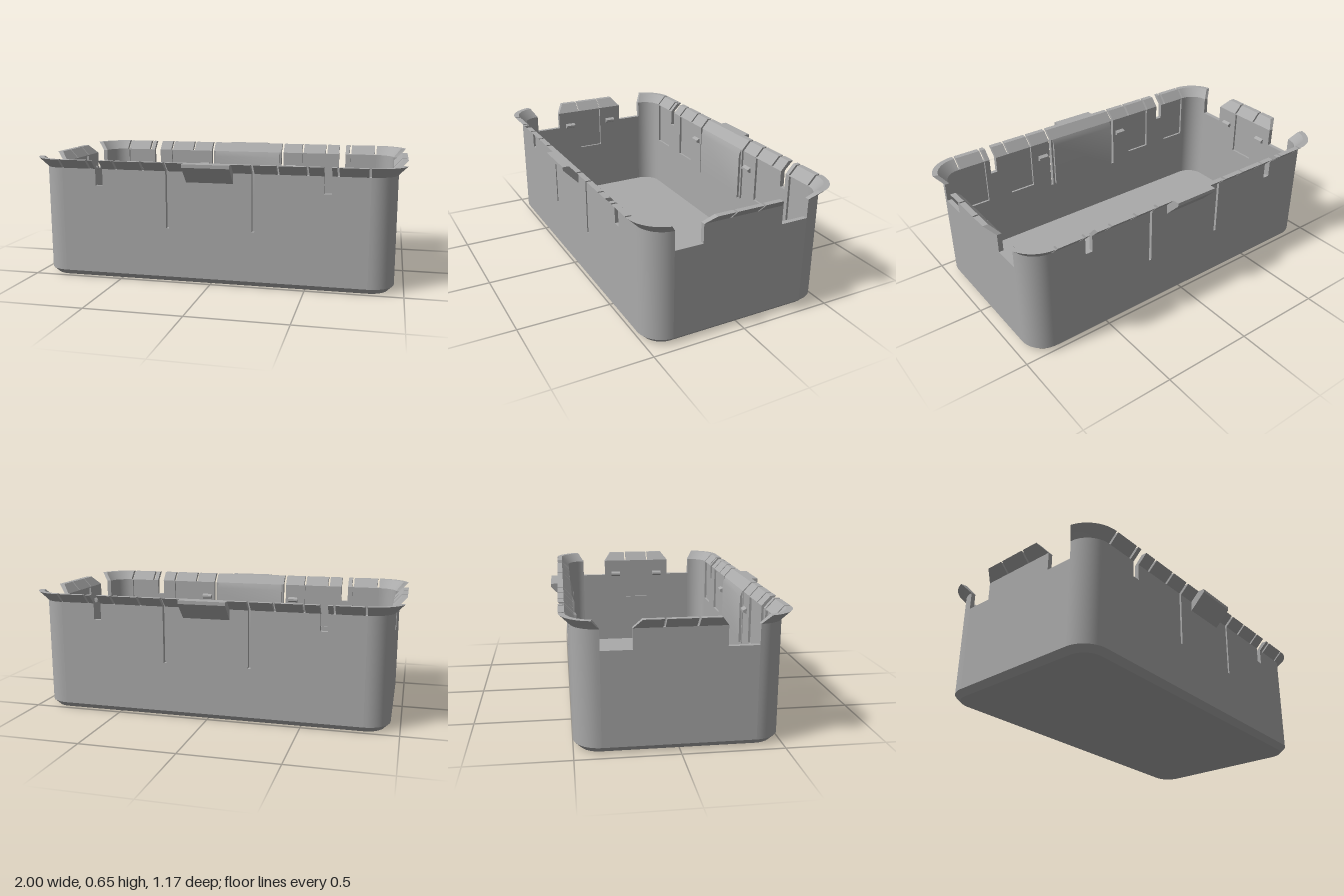
import * as THREE from 'three';
import { toCreasedNormals } from 'three/addons/utils/BufferGeometryUtils.js';

const HALF_X = 0.95, HALF_Z = 0.5, RADIUS = 0.13, WALL = 0.025;
const FLOOR = 0.03, RIM = 0.6, TOP = 0.65;

// Solid through matching convex sections (arrays of [x, y, z]), capped at both ends
function loft(sections) {
  const n = sections[0].length, tris = [];
  for (let s = 0; s < sections.length - 1; s++) {
    for (let i = 0; i < n; i++) {
      const j = (i + 1) % n, a = sections[s], b = sections[s + 1];
      tris.push([a[i], a[j], b[j]], [a[i], b[j], b[i]]);
    }
  }
  const first = sections[0], last = sections[sections.length - 1];
  for (let i = 1; i < n - 1; i++) {
    tris.push([first[0], first[i + 1], first[i]], [last[0], last[i], last[i + 1]]);
  }
  // Face outwards whichever way the sections run
  const v = p => new THREE.Vector3(...p);
  const volume = tris.reduce((sum, [a, b, c]) => sum + v(a).dot(v(b).cross(v(c))), 0);
  if (volume < 0) tris.forEach(t => t.reverse());
  const geo = new THREE.BufferGeometry();
  geo.setAttribute('position', new THREE.Float32BufferAttribute(tris.flat(2), 3));
  return toCreasedNormals(geo, 0.5);
}

// Straight bar along a wall; the profile is [out, y], ends may lean inwards at the top
function bar(profile, a, b, place, leanA = 0, leanB = 0) {
  const lift = y => Math.max(0, (y - RIM) / (TOP - RIM));
  return loft([
    profile.map(([o, y]) => place(a + leanA * lift(y), o, y)),
    profile.map(([o, y]) => place(b - leanB * lift(y), o, y)),
  ]);
}

const onFront = (u, out, y) => [u, y, HALF_Z + out];
const onSide = (u, out, y) => [HALF_X + out, y, u];

// Quarter turn round a corner; lean cuts the end next to the side wall
function corner(profile, sx, lean = 0) {
  const sections = [];
  for (let i = 0; i <= 12; i++) {
    sections.push(profile.map(([out, y]) => {
      const start = y > RIM ? lean : 0;
      const t = start + (Math.PI / 2 - start) * i / 12;
      const r = RADIUS + out;
      return [sx * (HALF_X - RADIUS + r * Math.cos(t)), y, HALF_Z - RADIUS + r * Math.sin(t)];
    }));
  }
  return loft(sections);
}

function roundedRing(inset, y) {
  const r = RADIUS - inset, points = [];
  for (let q = 0; q < 4; q++) {
    const cx = (q === 0 || q === 3 ? 1 : -1) * (HALF_X - RADIUS);
    const cz = (q < 2 ? 1 : -1) * (HALF_Z - RADIUS);
    for (let i = 0; i <= 12; i++) {
      const t = (q + i / 12) * Math.PI / 2;
      points.push([cx + r * Math.cos(t), y, cz + r * Math.sin(t)]);
    }
  }
  return points;
}

// Symmetric wall plate from the right half of its outline, with rectangular holes
function plate(half, holes, z0, z1) {
  const left = half.map(([x, y]) => [-x, y]).reverse();
  const shape = new THREE.Shape([...left, ...half].map(p => new THREE.Vector2(...p)));
  for (const [a, b, y0, y1] of holes) {
    shape.holes.push(new THREE.Path(
      [[a, y0], [b, y0], [b, y1], [a, y1]].map(p => new THREE.Vector2(...p))));
  }
  return new THREE.ExtrudeGeometry(shape, { depth: z1 - z0, bevelEnabled: false }).translate(0, 0, z0);
}

export function createModel() {
  const model = new THREE.Group();
  model.name = 'openTray';
  const plastic = new THREE.MeshStandardMaterial({ color: 0xaaaaaa });
  plastic.name = 'greyPlastic';

  const add = (parent, name, geo) => {
    const mesh = new THREE.Mesh(geo, plastic);
    mesh.name = name;
    parent.add(mesh);
  };

  // Floor with chamfered lower edge
  add(model, 'floor', loft([roundedRing(0.03, 0), roundedRing(0, FLOOR)]));

  const wallProfile = [[-WALL, FLOOR], [0, FLOOR], [0, RIM], [-WALL, RIM]];
  const flareProfile = [[-WALL, RIM], [0, RIM], [0.05, TOP], [0.02, TOP]];
  const bumpProfile = [[-WALL, 0.49], [-0.045, 0.5], [-0.045, 0.512], [-WALL, 0.522]];
  const panelProfile = [[-WALL, 0.3], [-0.038, 0.3], [-0.038, 0.565], [-WALL, RIM]];
  const clipProfile = [[0, 0.545], [0.085, 0.632], [0.085, TOP], [0.02, TOP], [0, 0.62]];

  // Half outlines with the slots and notches
  const longOutline = [[0.2225, RIM], [0.2225, 0.295], [0.2375, 0.295], [0.2375, RIM],
    [0.59, RIM], [0.59, 0.51], [0.63, 0.51], [0.63, RIM], [0.82, RIM], [0.82, FLOOR]];
  const sideOutline = [[0.22, RIM], [0.22, 0.5], [0.37, 0.5], [0.37, FLOOR]];
  const longPockets = [[0.36, 0.51], [0.66, 0.81], [-0.51, -0.36], [-0.81, -0.66]]
    .map(([a, b]) => [a, b, 0.34, 0.595]);
  const sidePockets = [[-0.075, 0.075, 0.34, 0.595]];

  // One long wall, one short wall and two corners; the other half is turned around
  for (let k = 0; k < 2; k++) {
    const half = new THREE.Group();
    half.name = k ? 'backHalf' : 'frontHalf';
    half.rotation.y = k * Math.PI;
    model.add(half);

    // Walls: plain outer skin and inner skin with shallow pockets
    const mid = WALL / 2;
    add(half, 'longWallOuter', plate(longOutline, [], HALF_Z - mid, HALF_Z));
    add(half, 'longWallInner', plate(longOutline, longPockets, HALF_Z - WALL, HALF_Z - mid));
    add(half, 'shortWallOuter', plate(sideOutline, [], HALF_X - mid, HALF_X).rotateY(Math.PI / 2));
    add(half, 'shortWallInner',
      plate(sideOutline, sidePockets, HALF_X - WALL, HALF_X - mid).rotateY(Math.PI / 2));

    // Split flared rim, central pieces
    add(half, 'longCentreRim', bar(flareProfile, -0.2225, 0.2225, onFront));
    add(half, 'shortCentreRim', bar(flareProfile, -0.072, 0.072, onSide));

    // Latch and its inner panel
    add(half, 'latchPanel', bar(panelProfile, -0.21, 0.21, onFront));
    add(half, 'latchClip', bar(clipProfile, -0.125, 0.125, onFront));

    for (const s of [1, -1]) {
      const front = (u, out, y) => onFront(s * u, out, y);
      const side = (u, out, y) => onSide(s * u, out, y);
      for (const [a, b] of [[0.2375, 0.354], [0.366, 0.504], [0.516, 0.59], [0.63, 0.654], [0.666, 0.809]]) {
        add(half, 'longRimSegment', bar(flareProfile, a, b, front));
      }
      add(half, 'shortRimSegment', bar(flareProfile, 0.082, 0.22, side, 0, 0.04));
      add(half, 'longSnapBump', bar(bumpProfile, 0.255, 0.315, front));
      add(half, 'shortSnapBump', bar(bumpProfile, 0.115, 0.175, side));
      add(half, 'cornerWall', corner(wallProfile, s));
      add(half, 'cornerRim', corner(flareProfile, s, 0.22));
    }
  }
  return model;
}
